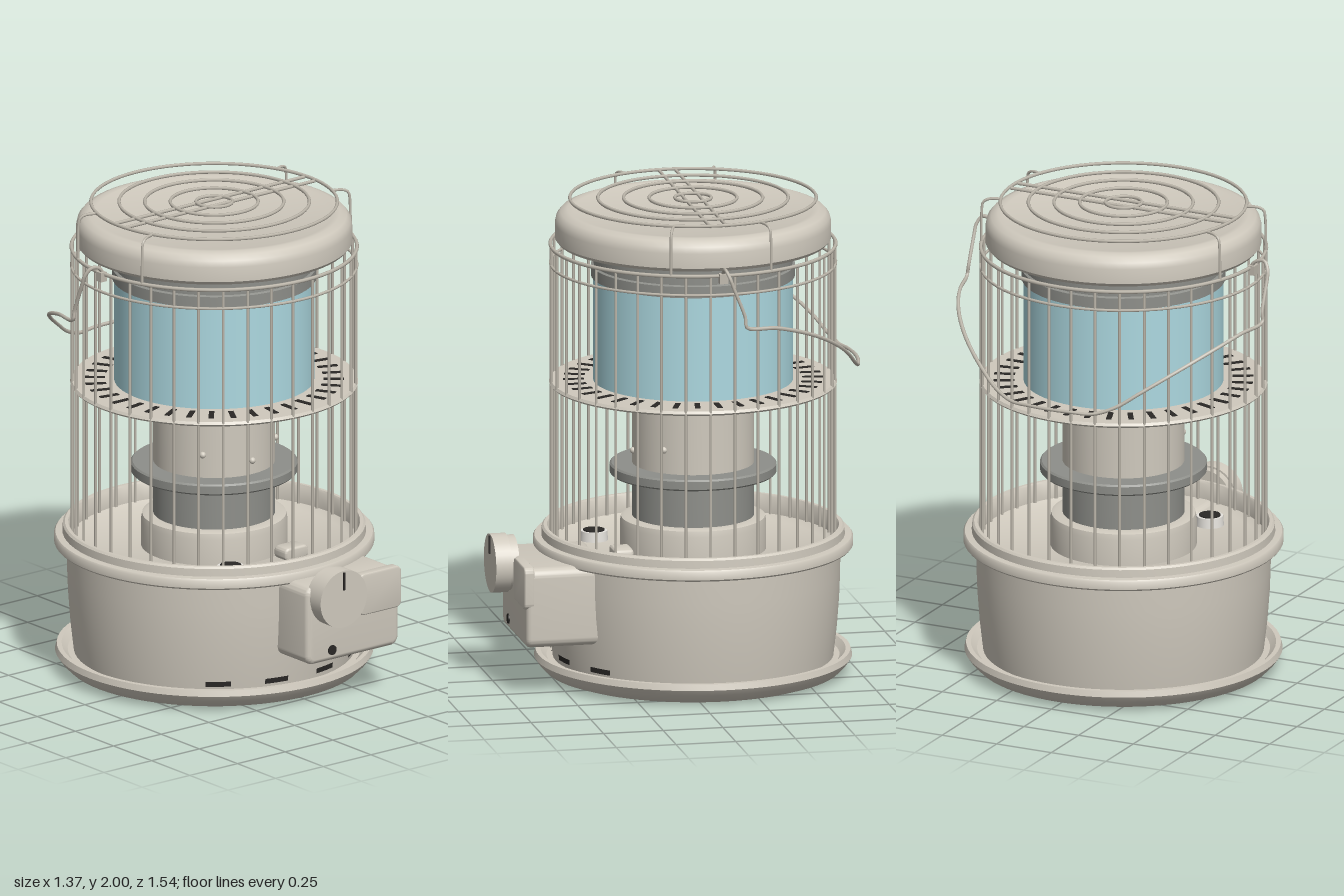
import * as THREE from 'three';
import { toCreasedNormals } from 'three/addons/utils/BufferGeometryUtils.js';

const mat = (name, color, side = THREE.FrontSide) => {
  const m = new THREE.MeshStandardMaterial({ color, side });
  m.name = name;
  return m;
};

export function createModel() {
  const enamel = mat('warm grey enamel', 0xcfc9bd);
  const wire = mat('wire', 0xbfb9ad);
  const steel = mat('burner steel', 0x8e8f8a);
  const glass = mat('blue glass', 0xacd8e0, THREE.DoubleSide);
  const dark = mat('dark openings', 0x2a2826);
  const white = mat('gauge white', 0xe6e3dd);

  const model = new THREE.Group();
  model.name = 'heater';
  // Everything is placed around the heater's own vertical axis
  const body = new THREE.Group();
  body.name = 'body';
  body.position.z = -0.09;
  model.add(body);

  const add = (name, geo, material, x = 0, y = 0, z = 0, parent = body) => {
    const m = new THREE.Mesh(geo, material);
    m.name = name;
    m.position.set(x, y, z);
    parent.add(m);
    return m;
  };
  const v = (x, y, z) => new THREE.Vector3(x, y, z);
  const lathe = (name, pts, material) => add(name, toCreasedNormals(
    new THREE.LatheGeometry(pts.map(([r, y]) => new THREE.Vector2(r, y)), 72), 0.65), material);
  const ring = (name, r, y, t) => {
    const m = add(name, new THREE.TorusGeometry(r, t, 6, 72), wire, 0, y, 0);
    m.rotation.x = Math.PI / 2;
    return m;
  };
  const tube = (name, pts, r, n, parent = body) => add(name,
    new THREE.TubeGeometry(new THREE.CatmullRomCurve3(pts, false, 'centripetal'), n, r, 6), wire, 0, 0, 0, parent);

  // Base dish, tank and recessed deck
  lathe('baseDish', [[0, 0], [0.56, 0], [0.605, 0.015], [0.635, 0.045], [0.652, 0.07],
    [0.645, 0.095], [0.625, 0.095], [0.6, 0.07], [0.5, 0.07]], enamel);
  lathe('tank', [[0.575, 0.07], [0.58, 0.11], [0.59, 0.2], [0.599, 0.32], [0.603, 0.42], [0.604, 0.54]], enamel);
  lathe('rimAndDeck', [[0.6, 0.53], [0.65, 0.53], [0.656, 0.537], [0.656, 0.568], [0.65, 0.576], [0.622, 0.578],
    [0.62, 0.61], [0.612, 0.618], [0.598, 0.618], [0.592, 0.61], [0.59, 0.54], [0.56, 0.52], [0, 0.52]], enamel);
  for (const a of [-37, -12.5, 12.5, 37]) {
    const t = THREE.MathUtils.degToRad(a);
    add('airSlot', new THREE.CylinderGeometry(0.584, 0.582, 0.022, 8, 1, true, t - 0.09, 0.18), dark, 0, 0.102, 0);
  }

  // Burner column
  lathe('burnerCup', [[0.3, 0.51], [0.3, 0.63], [0.295, 0.655], [0.28, 0.66], [0.24, 0.66]], enamel);
  lathe('burnerLower', [[0.25, 0.6], [0.25, 0.85]], steel);
  lathe('burnerFlange', [[0.24, 0.835], [0.335, 0.835], [0.342, 0.842], [0.342, 0.875], [0.335, 0.882], [0.24, 0.882]], steel);
  lathe('burnerUpper', [[0.25, 0.88], [0.25, 1.26]], enamel);
  [[-0.19, 0.98], [0, 0.94], [0.19, 0.98]].forEach(([x, y]) =>
    add('burnerScrew', new THREE.SphereGeometry(0.014, 12, 8), enamel, x, y, Math.sqrt(0.25 ** 2 - x * x)));

  // Slotted plate, glass chimney and collar
  lathe('plate', [[0.24, 1.25], [0.37, 1.25], [0.4, 1.24], [0.41, 1.212], [0.583, 1.212], [0.59, 1.22],
    [0.583, 1.231], [0.41, 1.231]], enamel);
  for (let i = 0; i < 36; i++) {
    const a = i * Math.PI / 18;
    add('plateSlot', new THREE.BoxGeometry(0.022, 0.004, 0.085), dark,
      Math.sin(a) * 0.49, 1.232, Math.cos(a) * 0.49).rotation.y = a;
  }
  add('glassChimney', new THREE.CylinderGeometry(0.41, 0.41, 0.445, 72, 1, true), glass, 0, 1.452, 0);
  lathe('collar', [[0.4, 1.668], [0.418, 1.668], [0.418, 1.715], [0.408, 1.72], [0.408, 1.82]], steel);

  // Top cap
  lathe('topCap', [[0, 1.812], [0.53, 1.812], [0.555, 1.814], [0.566, 1.828], [0.566, 1.89], [0.56, 1.916],
    [0.543, 1.936], [0.515, 1.946], [0.49, 1.944], [0.47, 1.938], [0, 1.938]], enamel);

  // Wire trivet above the cap
  for (const r of [0.075, 0.18, 0.285, 0.39, 0.505]) ring('trivetRing', r, 1.992, 0.007);
  for (const z of [-0.034, 0.034]) {
    add('trivetBar', new THREE.CylinderGeometry(0.007, 0.007, 1.0, 6), wire, 0, 1.988, z).rotation.z = Math.PI / 2;
  }
  for (const a of [21, -21, 159, 201]) {
    tube('trivetHook', [v(0.5, 1.99, 0), v(0.555, 1.988, 0), v(0.577, 1.975, 0), v(0.583, 1.945, 0),
      v(0.585, 1.88, 0), v(0.585, 1.8, 0)], 0.006, 20).rotation.y = THREE.MathUtils.degToRad(a);
  }

  // Guard cage
  ring('cageTopRing', 0.585, 1.8, 0.008);
  ring('cageUpperRing', 0.585, 1.72, 0.006);
  const barGeo = new THREE.CylinderGeometry(0.006, 0.006, 1.26, 6);
  for (let i = 0; i < 36; i++) {
    const a = (i + 0.5) * Math.PI / 18;
    add('cageBar', barGeo, wire, Math.sin(a) * 0.583, 1.17, Math.cos(a) * 0.583);
  }

  // Carrying handle: one half, mirrored, swept round the back
  const half = [v(0.585, 1.775, 0), v(0.592, 1.815, 0), v(0.61, 1.83, 0), v(0.645, 1.835, 0), v(0.668, 1.8, -0.015),
    v(0.67, 1.77, -0.025), v(0.672, 1.64, -0.075), v(0.676, 1.6, -0.08)];
  for (let i = 1; i <= 9; i++) {
    const a = THREE.MathUtils.degToRad(10 + i * 8);
    const x = 0.677 * Math.cos(a);
    half.push(v(x, Math.max(1.3, 1.6 - 0.68 * (0.668 - x)), -0.677 * Math.sin(a)));
  }
  const mirrored = half.map((p) => v(-p.x, p.y, p.z)).reverse();
  tube('carryHandle', [...half, v(0, 1.3, -0.677), ...mirrored], 0.008, 180);
  for (const s of [-1, 1]) add('handleLug', new THREE.BoxGeometry(0.03, 0.04, 0.035), wire, s * 0.592, 1.79, 0);

  // Fuel gauge and small housing on the deck
  add('gauge', new THREE.CylinderGeometry(0.055, 0.058, 0.04, 24), white, -0.21, 0.54, 0.37);
  add('gaugeFace', new THREE.CylinderGeometry(0.044, 0.044, 0.006, 24), dark, -0.21, 0.562, 0.37);

  // Rounded slab facing the front
  const slab = (name, x0, x1, y0, y1, z0, z1, r, bevel, parent) => {
    const s = new THREE.Shape();
    s.absarc(x1 - r, y1 - r, r, 0, Math.PI / 2);
    s.absarc(x0 + r, y1 - r, r, Math.PI / 2, Math.PI);
    s.absarc(x0 + r, y0 + r, r, Math.PI, Math.PI * 1.5);
    s.absarc(x1 - r, y0 + r, r, Math.PI * 1.5, Math.PI * 2);
    const g = new THREE.ExtrudeGeometry(s, { depth: z1 - z0 - 2 * bevel, curveSegments: 6,
      bevelSize: bevel, bevelThickness: bevel, bevelOffset: -bevel, bevelSegments: 3 });
    return add(name, toCreasedNormals(g, 0.65), enamel, 0, 0, z0 + bevel, parent);
  };
  slab('deckHousing', 0.08, 0.2, 0.515, 0.57, 0.29, 0.37, 0.02, 0.01, body);

  // Control box with knob, push panel and pilot hole
  const control = new THREE.Group();
  control.name = 'controlBox';
  model.add(control);
  slab('controlHousing', -0.13, 0.355, 0.21, 0.545, 0.34, 0.682, 0.04, 0.02, control);
  slab('pushPanel', 0.138, 0.357, 0.375, 0.552, 0.65, 0.692, 0.025, 0.006, control);
  const disc = (name, r, depth, material, y, z) => {
    add(name, new THREE.CylinderGeometry(r, r, depth, 40), material, 0, y, z, control).rotation.x = Math.PI / 2;
  };
  disc('knobCollar', 0.114, 0.04, enamel, 0.495, 0.68);
  disc('knob', 0.122, 0.066, enamel, 0.495, 0.727);
  disc('pilotHole', 0.021, 0.008, dark, 0.257, 0.683);
  add('knobMark', new THREE.BoxGeometry(0.009, 0.075, 0.006), dark, 0, 0.572, 0.762, control);

  return model;
}
